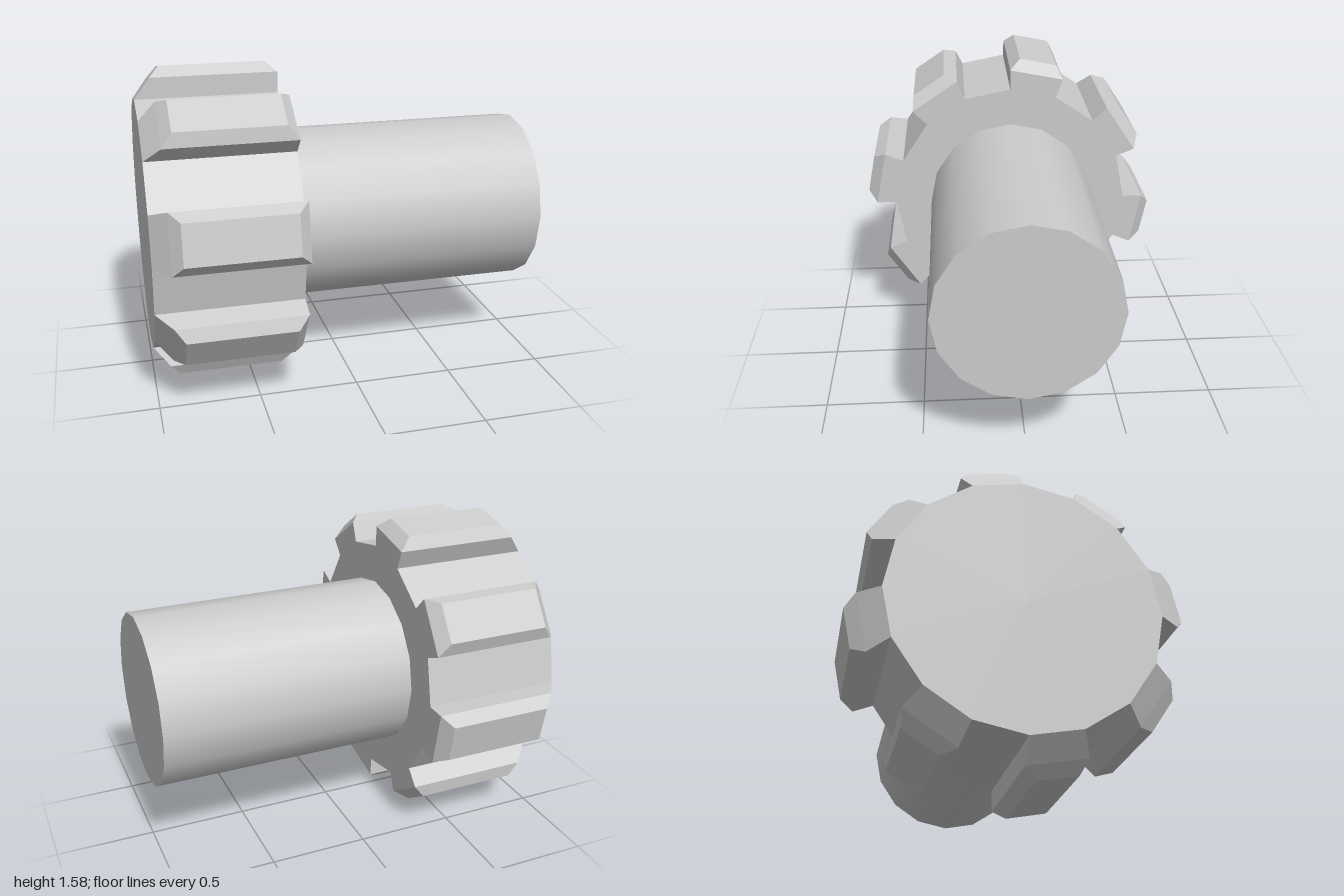
import * as THREE from 'three';

const SIDES = 16;
const STEP = (Math.PI * 2) / SIDES;
const AXIS_Y = 0.795;

// One lug: three rectangular rings stacked outward from the hub
function lugGeometry() {
  const rings = [
    { r: 0.638, x0: -1, x1: -0.285, a0: 0, a1: STEP },
    { r: 0.743, x0: -0.92, x1: -0.285, a0: 0, a1: STEP },
    { r: 0.792, x0: -0.87, x1: -0.34, a0: 0.07, a1: STEP - 0.07 },
  ];
  const pos = [];
  const index = [];
  for (const { r, x0, x1, a0, a1 } of rings) {
    for (const [x, a] of [[x0, a0], [x1, a0], [x1, a1], [x0, a1]]) {
      pos.push(x, r * Math.cos(a), -r * Math.sin(a));
    }
  }
  for (let k = 0; k < 2; k++) {
    for (let i = 0; i < 4; i++) {
      const a = k * 4 + i;
      const b = k * 4 + ((i + 1) % 4);
      index.push(a, b, b + 4, a, b + 4, a + 4);
    }
  }
  index.push(8, 9, 10, 8, 10, 11);
  const geo = new THREE.BufferGeometry();
  geo.setAttribute('position', new THREE.Float32BufferAttribute(pos, 3));
  geo.setIndex(index);
  const flat = geo.toNonIndexed();
  flat.computeVertexNormals();
  return flat;
}

// Cylinder lying along x between two stations
function barGeometry(radius, x0, x1) {
  const geo = new THREE.CylinderGeometry(radius, radius, x1 - x0, SIDES);
  geo.rotateZ(-Math.PI / 2);
  geo.translate((x0 + x1) / 2, 0, 0);
  return geo;
}

export function createModel() {
  const group = new THREE.Group();
  group.name = 'knob';

  const grey = new THREE.MeshStandardMaterial({ color: 0xcccccc });
  grey.name = 'light grey';

  const add = (name, geometry) => {
    const mesh = new THREE.Mesh(geometry, grey);
    mesh.name = name;
    mesh.position.y = AXIS_Y;
    group.add(mesh);
    return mesh;
  };

  // Faceted hub
  const hub = barGeometry(0.638, -1, -0.285).toNonIndexed();
  hub.computeVertexNormals();
  add('hub', hub);

  // Smooth shaft
  add('shaft', barGeometry(0.442, -0.285, 1));

  // Lugs on every second facet of the hub
  const lug = lugGeometry();
  for (let i = 0; i < SIDES / 2; i++) {
    add('lug' + (i + 1), lug).rotation.x = -i * 2 * STEP;
  }

  return group;
}
